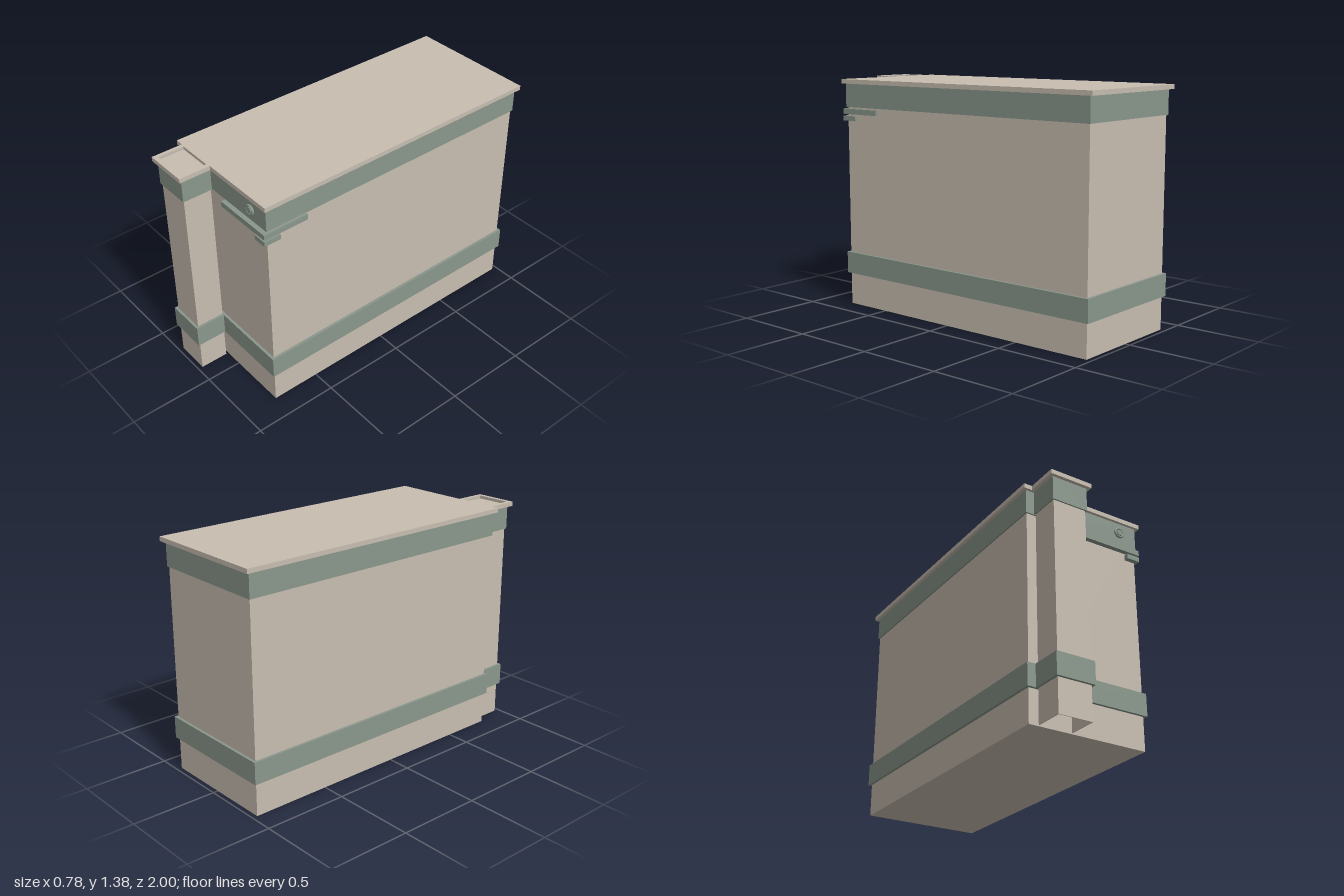
import * as THREE from 'three';

const tan = new THREE.MeshStandardMaterial({ color: 0xc8beb1 });
tan.name = 'warm beige';
const green = new THREE.MeshStandardMaterial({ color: 0x8a978c });
green.name = 'sage green';

export function createModel() {
  const model = new THREE.Group();
  model.name = 'building';

  function add(name, geometry, material) {
    const mesh = new THREE.Mesh(geometry, material);
    mesh.name = name;
    model.add(mesh);
    return mesh;
  }

  // Box given by its limits on each axis
  function block(name, material, [x0, x1], [y0, y1], [z0, z1]) {
    const mesh = add(name, new THREE.BoxGeometry(x1 - x0, y1 - y0, z1 - z0), material);
    mesh.position.set((x0 + x1) / 2, (y0 + y1) / 2, (z0 + z1) / 2);
    return mesh;
  }

  // Extrude a plan outline of [x, z] points from y0 to y1
  function planExtrude(name, material, outline, [y0, y1], hole) {
    const toPoints = list => list.map(([x, z]) => new THREE.Vector2(x, -z));
    const shape = new THREE.Shape(toPoints(outline));
    if (hole) shape.holes.push(new THREE.Path(toPoints(hole)));
    const geometry = new THREE.ExtrudeGeometry(shape, { depth: y1 - y0, bevelEnabled: false });
    geometry.rotateX(-Math.PI / 2).translate(0, y0, 0);
    return add(name, geometry, material);
  }

  // Three-sided wall, open towards the back
  function channel(name, material, [x0, x1], y, [z0, z1], t) {
    planExtrude(name, material, [
      [x0, z0], [x0, z1], [x1, z1], [x1, z0],
      [x1 - t, z0], [x1 - t, z1 - t], [x0 + t, z1 - t], [x0 + t, z0],
    ], y, null);
  }

  // Main block with its bands and roof slab
  block('mainBody', tan, [-0.361, 0.361], [0, 1.35], [-0.97, 0.79]);
  block('lowerBand', green, [-0.377, 0.377], [0.195, 0.325], [-0.986, 0.806]);
  block('upperBand', green, [-0.37, 0.37], [1.21, 1.35], [-0.977, 0.798]);
  block('roofSlab', tan, [-0.39, 0.39], [1.35, 1.376], [-1, 0.815]);

  // Hollow shaft on the front wall with matching bands
  channel('frontShaft', tan, [-0.312, -0.109], [0, 1.35], [0.804, 0.972], 0.004);
  channel('shaftLowerBand', green, [-0.327, -0.094], [0.195, 0.325], [0.804, 0.988], 0.015);
  channel('shaftUpperBand', green, [-0.32, -0.101], [1.21, 1.35], [0.802, 0.98], 0.008);

  // Shaft cap: a frame around a shallow recess
  const rect = (x0, x1, z0, z1) => [[x0, z0], [x0, z1], [x1, z1], [x1, z0]];
  planExtrude('shaftCapFrame', tan, rect(-0.341, -0.081, 0.815, 1), [1.35, 1.376],
    rect(-0.318, -0.106, 0.82, 0.975));
  block('shaftCapFloor', tan, [-0.318, -0.106], [1.35, 1.358], [0.815, 0.975]);

  // Ledges wrapping the front corner
  block('longCornerLedge', green, [0.002, 0.376], [1.168, 1.2], [0.54, 0.818]);
  block('shortCornerLedge', green, [0.294, 0.376], [1.128, 1.157], [0.715, 0.818]);

  // Round emblem-free boss on the upper band
  const boss = new THREE.Group();
  boss.name = 'roundBoss';
  boss.position.set(0.25, 1.283, 0.8);
  const ring = new THREE.Mesh(new THREE.TorusGeometry(0.026, 0.007, 10, 32), green);
  ring.name = 'bossRing';
  ring.position.z = 0.008;
  const disc = new THREE.Mesh(new THREE.CylinderGeometry(0.017, 0.02, 0.018, 24), green);
  disc.name = 'bossCentre';
  disc.rotation.x = Math.PI / 2;
  disc.position.z = 0.006;
  boss.add(ring, disc);
  model.add(boss);

  return model;
}
